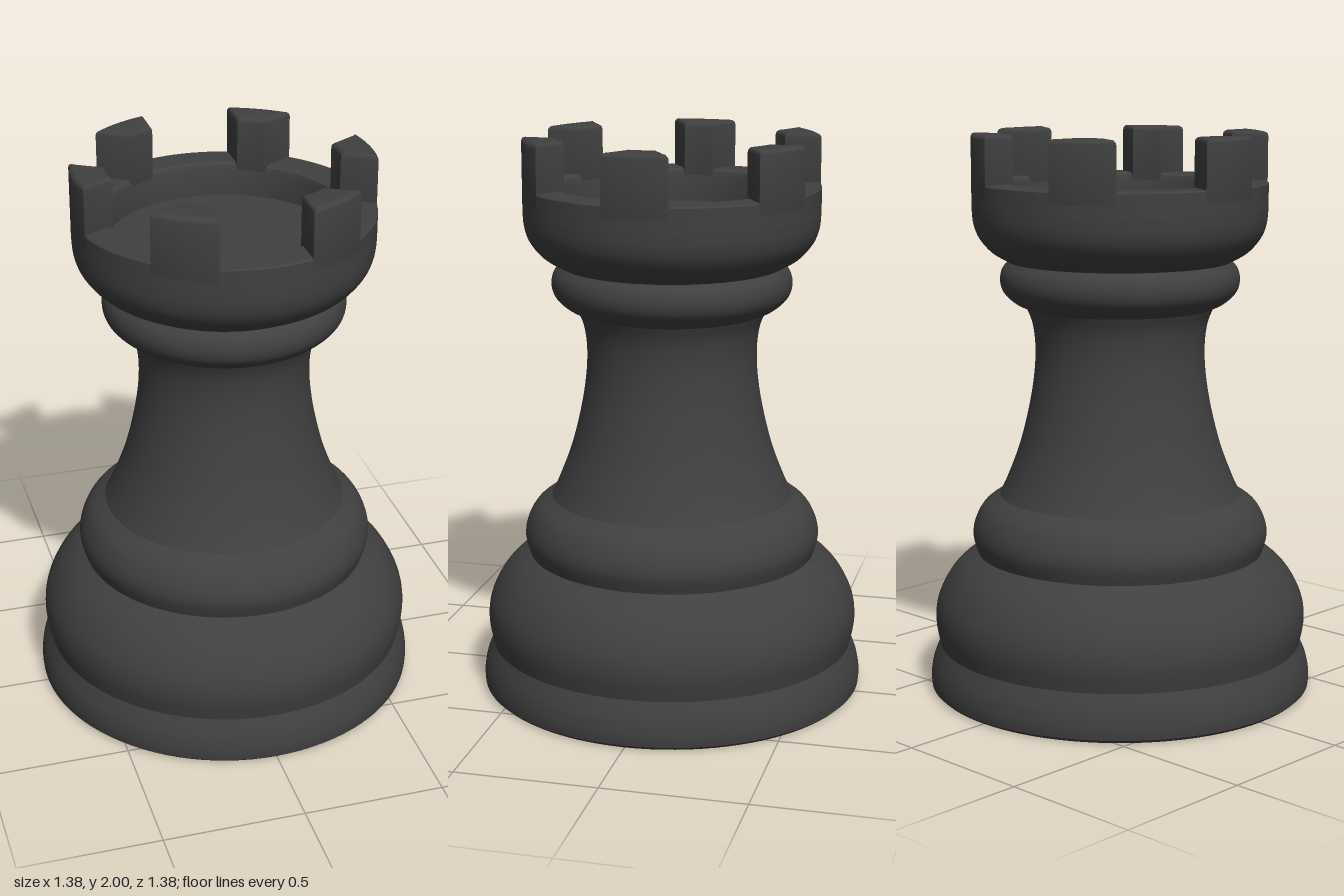
import * as THREE from 'three';
import { toCreasedNormals } from 'three/addons/utils/BufferGeometryUtils.js';

const SEGMENTS = 96;

export function createModel() {
  const group = new THREE.Group();
  const charcoal = new THREE.MeshStandardMaterial({ color: 0x404040 });
  charcoal.name = 'charcoal';

  const add = (name, geometry) => {
    const mesh = new THREE.Mesh(geometry, charcoal);
    mesh.name = name;
    group.add(mesh);
    return mesh;
  };
  const vectors = (points) => points.map(([r, y]) => new THREE.Vector2(r, y));

  // Turned section with a smooth curved profile, listed from bottom to top
  const turned = (name, points) => {
    const profile = new THREE.SplineCurve(vectors(points)).getPoints(points.length * 4);
    return add(name, new THREE.LatheGeometry(profile, SEGMENTS));
  };
  // Turned section with straight profile pieces and sharp edges
  const turnedSharp = (name, points) =>
    add(name, toCreasedNormals(new THREE.LatheGeometry(vectors(points), SEGMENTS), 0.5));

  // Foot and body
  turnedSharp('underside', [[0, 0], [0.675, 0], [0.688, 0.012]]);
  turned('foot', [[0.688, 0.012], [0.69, 0.05], [0.68, 0.105], [0.655, 0.165]]);
  turned('lowerBulge', [[0.655, 0.165], [0.67, 0.25], [0.66, 0.33], [0.62, 0.41], [0.57, 0.465], [0.515, 0.5]]);
  turned('upperBulge', [[0.515, 0.5], [0.531, 0.56], [0.522, 0.615], [0.49, 0.67], [0.433, 0.71]]);
  turned('shaft', [[0.433, 0.71], [0.405, 0.77], [0.36, 0.89], [0.325, 1.03], [0.306, 1.15], [0.302, 1.25], [0.312, 1.33], [0.333, 1.385]]);
  turned('collar', [[0.333, 1.385], [0.375, 1.405], [0.412, 1.44], [0.425, 1.48], [0.418, 1.52], [0.395, 1.55]]);

  // Head with a shallow dish inside the rim
  turned('head', [[0.395, 1.55], [0.455, 1.585], [0.498, 1.635], [0.517, 1.685], [0.522, 1.74]]);
  turnedSharp('rim', [[0.522, 1.74], [0.522, 1.825], [0.517, 1.83], [0.42, 1.83], [0.407, 1.822], [0.4, 1.805], [0.4, 1.71]]);
  turnedSharp('dishFloor', [[0.4, 1.71], [0, 1.71]]);

  // Battlements: ring pieces left between three straight slots of equal width
  const inner = 0.4, outer = 0.522, slotHalf = 0.155, bevel = 0.016;
  const halfAngle = (r) => Math.PI / 6 - Math.asin(slotHalf / r);
  const plan = new THREE.Shape();
  plan.absarc(0, 0, outer, -halfAngle(outer), halfAngle(outer), false);
  plan.absarc(0, 0, inner, halfAngle(inner), -halfAngle(inner), true);
  plan.closePath();
  const bottom = 1.77;
  const merlon = new THREE.ExtrudeGeometry(plan, {
    depth: 2 - bottom - 2 * bevel, curveSegments: 10,
    bevelEnabled: true, bevelSize: bevel, bevelOffset: -bevel,
    bevelThickness: bevel, bevelSegments: 3,
  });
  merlon.rotateX(-Math.PI / 2);
  merlon.translate(0, bottom + bevel, 0);
  const merlonGeometry = toCreasedNormals(merlon, 0.7);
  for (let i = 0; i < 6; i++) {
    add('battlement' + (i + 1), merlonGeometry).rotation.y = (i * Math.PI) / 3;
  }
  return group;
}
